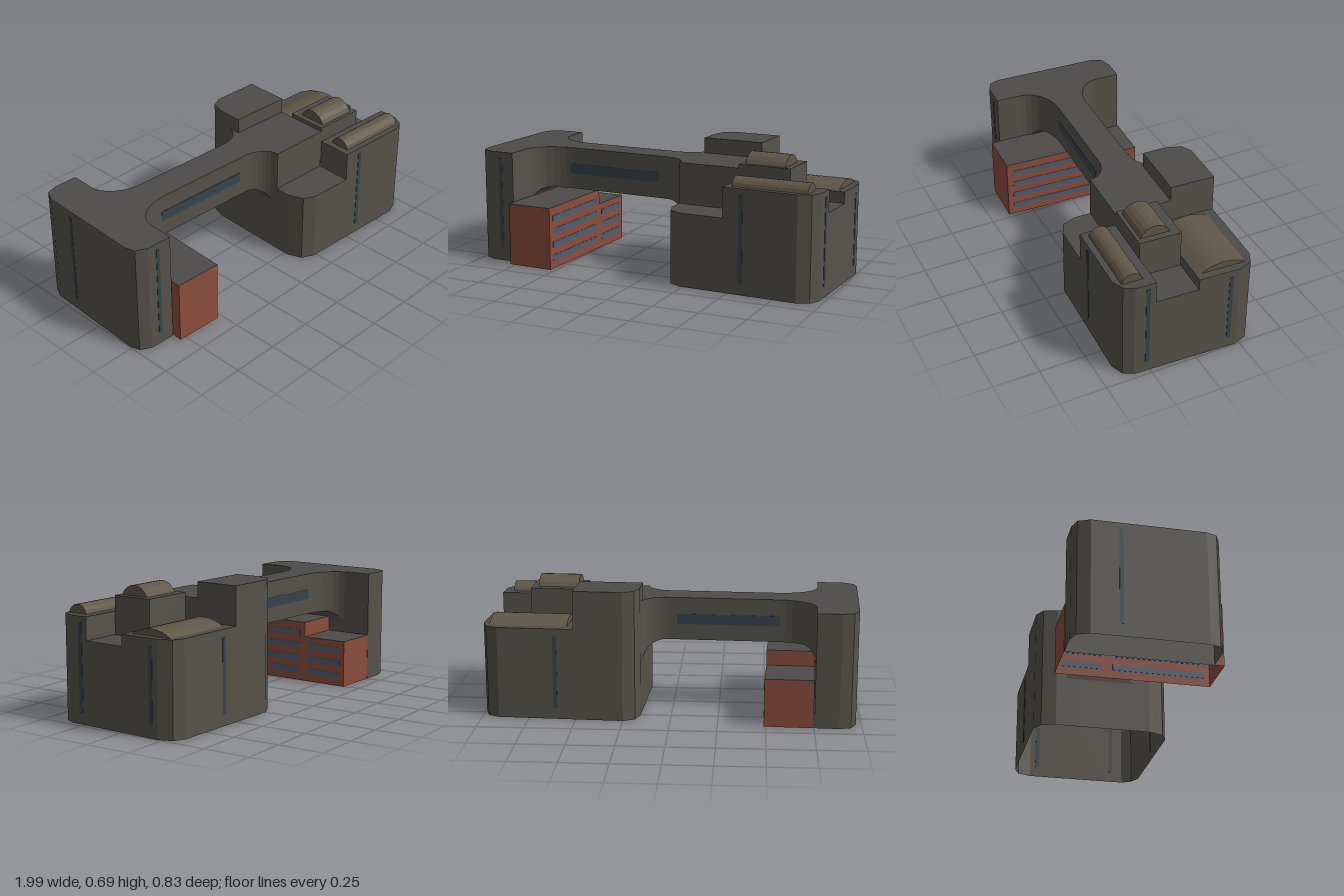
import * as THREE from 'three';

const paint = (color) => new THREE.MeshStandardMaterial({ color, flatShading: true, side: THREE.DoubleSide });
const CONCRETE = paint(0x56524b), ROOF = paint(0x4c4b4a), VAULT = paint(0x5f5646);
const BRICK = paint(0x8a4d3d), GLASS = paint(0x38434b), BLUE = paint(0x4a5f72);

export function createModel() {
  const model = new THREE.Group();
  model.name = 'bridgeBuilding';
  const plan = new THREE.Group();
  plan.name = 'rotatedPlan';
  plan.rotation.y = -0.044;
  model.add(plan);

  const add = (name, geometry, material, parent = plan) => {
    const mesh = new THREE.Mesh(geometry, material);
    mesh.name = name;
    parent.add(mesh);
    return mesh;
  };
  const surface = (positions) => {
    const g = new THREE.BufferGeometry();
    g.setAttribute('position', new THREE.Float32BufferAttribute(positions, 3));
    g.computeVertexNormals();
    return g;
  };
  const quad = (out, a, b, c, d) => out.push(...a, ...b, ...c, ...a, ...c, ...d);

  // Open-bottomed block: plan corners [x, z], roof height, and where the wall on each side starts
  function block(name, corners, top, floors = [], wallMaterial = CONCRETE) {
    const group = new THREE.Group();
    group.name = name;
    const walls = [], roof = [];
    corners.forEach(([x, z], i) => {
      const [x2, z2] = corners[(i + 1) % corners.length];
      const y = floors[i] ?? 0;
      if (y < top) quad(walls, [x, y, z], [x2, y, z2], [x2, top, z2], [x, top, z]);
    });
    const contour = corners.map(([x, z]) => new THREE.Vector2(x, -z));
    for (const face of THREE.ShapeUtils.triangulateShape(contour, []))
      for (const i of face) roof.push(corners[i][0], top, corners[i][1]);
    add(name + 'Walls', surface(walls), wallMaterial, group);
    add(name + 'Roof', surface(roof), ROOF, group);
    plan.add(group);
  }

  // Left wing with bevelled outer corners
  block('leftWing', [[-0.91, 0.361], [-0.77, 0.361], [-0.77, -0.381], [-0.898, -0.381],
    [-0.958, -0.362], [-0.985, -0.3], [-0.985, 0.28], [-0.967, 0.333]], 0.61);

  // Right wing, divided into roofs of different heights
  block('lowFrontBay', [[0.152, 0.264], [0.185, 0.343], [0.252, 0.373], [0.49, 0.373],
    [0.49, 0.176], [0.152, 0.176]], 0.39, [0, 0, 0, 0.39, 0.39, 0]);
  block('bridgeHall', [[0.152, 0.176], [0.49, 0.176], [0.49, -0.127], [0.152, -0.127]],
    0.61, [0.39, 0.43, 0.61, 0]);
  block('tallRearBay', [[0.152, -0.127], [0.49, -0.127], [0.49, -0.37], [0.232, -0.37],
    [0.172, -0.338], [0.152, -0.26]], 0.693, [0.61, 0.49]);
  block('frontBay', [[0.49, 0.373], [0.893, 0.373], [0.957, 0.344], [0.985, 0.29],
    [0.985, 0.18], [0.49, 0.18]], 0.55, [0, 0, 0, 0, 0.43, 0.39]);
  block('recessedBay', [[0.49, 0.18], [0.985, 0.18], [0.985, -0.05], [0.49, -0.05]],
    0.43, [0.43, 0, 0.43, 0.43]);
  block('middleTower', [[0.49, 0.176], [0.775, 0.176], [0.775, -0.05], [0.49, -0.05]],
    0.632, [0.43, 0.43, 0.43, 0.43]);
  block('rearBay', [[0.49, -0.05], [0.985, -0.05], [0.985, -0.27], [0.957, -0.343],
    [0.895, -0.37], [0.49, -0.37]], 0.49, [0.43, 0, 0, 0, 0, 0.49]);

  // Barrel vaults: a circular arc section extruded along x
  function vault(name, x1, x2, z1, z2, base, rise) {
    const half = (z2 - z1) / 2, r = (half * half + rise * rise) / (2 * rise);
    const sweep = Math.atan2(half, r - rise), shape = new THREE.Shape();
    for (let i = 0; i <= 8; i++) {
      const a = sweep * (1 - i / 4);
      shape[i ? 'lineTo' : 'moveTo'](r * Math.sin(a), r * Math.cos(a) - r + rise);
    }
    const g = new THREE.ExtrudeGeometry(shape, { depth: x2 - x1, bevelEnabled: false });
    g.rotateY(Math.PI / 2).translate(x1, base, (z1 + z2) / 2);
    add(name, g, VAULT);
  }
  vault('frontVault', 0.525, 0.932, 0.228, 0.34, 0.55, 0.047);
  vault('middleVault', 0.52, 0.74, -0.003, 0.157, 0.632, 0.055);
  vault('rearVault', 0.532, 0.943, -0.322, -0.08, 0.49, 0.036);

  // Bridge: widens in plan and deepens below as it meets each wing
  const flare = (t) => 1 - Math.sqrt(1 - THREE.MathUtils.clamp(t, 0, 1) ** 2);
  const stations = [];
  for (let i = 8; i >= 0; i--) stations.push(-0.56 - 0.21 * Math.sin(i * Math.PI / 16));
  for (let i = 0; i <= 8; i++) stations.push(0.015 + 0.137 * Math.sin(i * Math.PI / 16));
  const sections = stations.map((x) => {
    const left = (-0.56 - x) / 0.21, right = (x - 0.015) / 0.137;
    const w = 0.083 + 0.155 * flare(left) + 0.108 * flare(right);
    const y = 0.38 - 0.08 * flare((-0.7 - x) / 0.07) - 0.1 * flare((x - 0.035) / 0.117);
    return [[x, y, -0.014 + w], [x, y, -0.014 - w], [x, 0.61, -0.014 - w], [x, 0.61, -0.014 + w]];
  });
  const sides = [], deck = [];
  for (let i = 0; i < sections.length - 1; i++) {
    const a = sections[i], b = sections[i + 1];
    for (let k = 0; k < 4; k++) {
      const n = (k + 1) % 4;
      quad(k === 2 ? deck : sides, a[k], a[n], b[n], b[k]);
    }
  }
  add('bridgeSides', surface(sides), CONCRETE);
  add('bridgeRoof', surface(deck), ROOF);

  // Brick annex under the left end of the bridge, in two heights
  block('annexFront', [[-0.765, 0.412], [-0.508, 0.412], [-0.508, -0.12], [-0.765, -0.12]],
    0.34, [0, 0, 0.257, 0], BRICK);
  block('annexRear', [[-0.765, -0.12], [-0.508, -0.12], [-0.508, -0.383], [-0.765, -0.383]],
    0.257, [0.257], BRICK);

  // Thin window strips
  const strip = (name, w, h, d, x, y, z, material = GLASS) =>
    add(name, new THREE.BoxGeometry(w, h, d), material).position.set(x, y, z);
  const T = 0.004;
  for (const z of [0.069, -0.097]) strip('bridgeWindow', 0.55, 0.055, T, -0.3, 0.493, z);
  strip('frontWindowSlot', 0.022, 0.46, T, 0.59, 0.29, 0.373);
  strip('rearWindowSlot', 0.022, 0.39, T, 0.59, 0.255, -0.37);
  strip('leftFrontWindowSlot', 0.02, 0.51, T, -0.85, 0.32, 0.361);
  strip('leftSideWindowSlot', T, 0.51, 0.02, -0.985, 0.32, -0.15);
  strip('sideWindowSlot', T, 0.46, 0.022, 0.985, 0.29, 0.222);
  strip('sideWindowSlot', T, 0.39, 0.022, 0.985, 0.255, -0.228);
  for (let row = 0; row < 4; row++) {
    strip('annexWindowRow', T, 0.03, 0.47, -0.508, 0.06 + row * 0.073, 0.145, BLUE);
    if (row < 3) strip('annexWindowRow', T, 0.03, 0.21, -0.508, 0.06 + row * 0.073, -0.25, BLUE);
  }
  return model;
}
